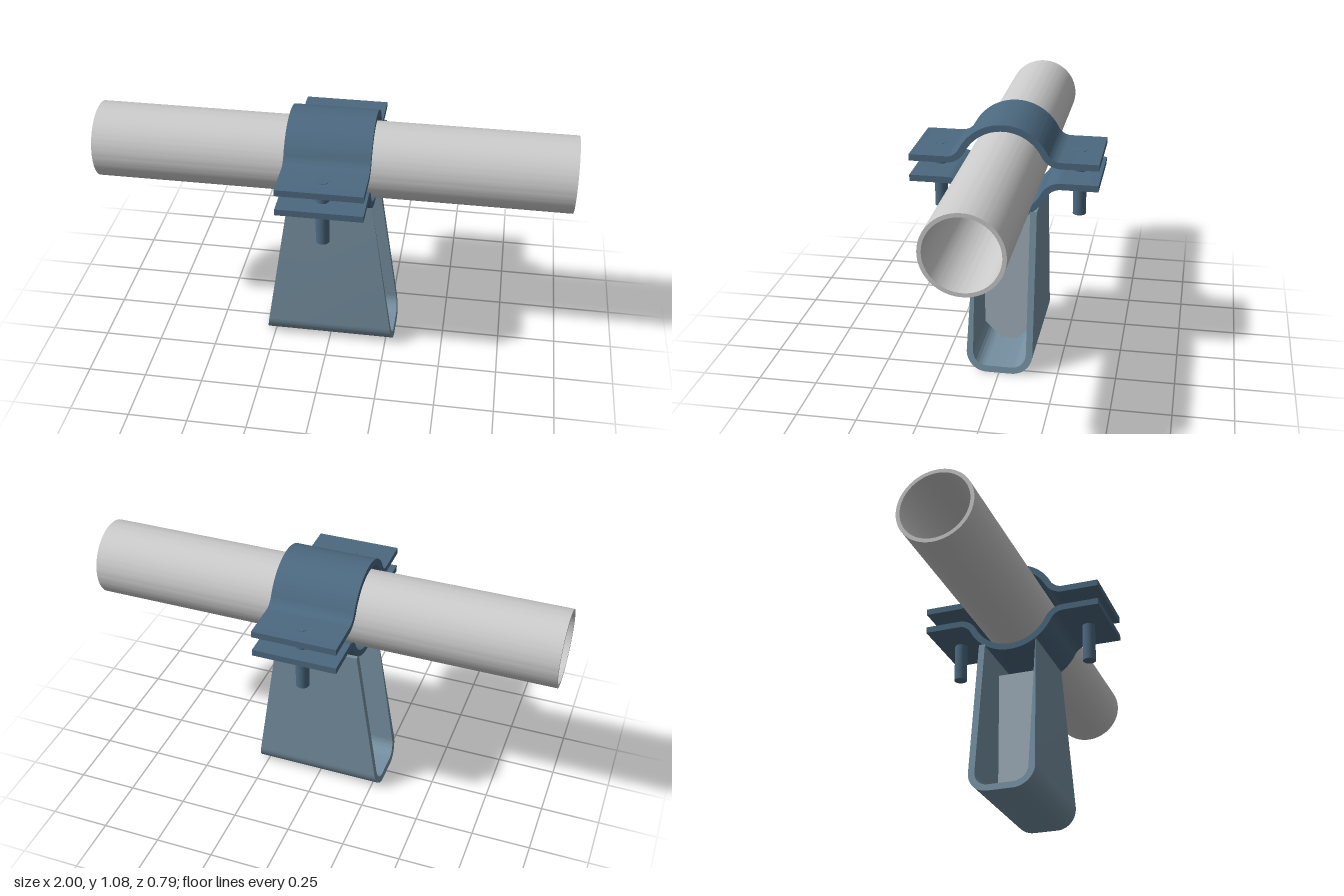
import * as THREE from 'three';
import { toCreasedNormals } from 'three/addons/utils/BufferGeometryUtils.js';

const AXIS_Y = 0.878; // height of the pipe axis

function material(color) {
  return new THREE.MeshStandardMaterial({ color });
}

// Extrudes a z-y profile along x, centred on x = 0
function extrudeX(shape, length, curveSegments = 24) {
  const geo = new THREE.ExtrudeGeometry(shape, { depth: length, bevelEnabled: false, curveSegments });
  geo.translate(0, 0, -length / 2);
  geo.rotateY(Math.PI / 2);
  return geo;
}

// Half clamp: arch with filleted flanges, origin on the pipe axis
function clampShape() {
  const R = 0.192, half = 0.0137, flangeY = 0.045, end = 0.395, fz = 0.24, fr = 0.0774;
  const fy = flangeY + fr, a = Math.atan2(fy, fz), down = -Math.PI / 2;
  const s = new THREE.Shape();
  s.moveTo(end, flangeY - half);
  s.lineTo(end, flangeY + half);
  s.absarc(fz, fy, fr - half, down, a - Math.PI, true);
  s.absarc(0, 0, R + half, a, Math.PI - a, false);
  s.absarc(-fz, fy, fr - half, -a, down, true);
  s.lineTo(-end, flangeY + half);
  s.lineTo(-end, flangeY - half);
  s.absarc(-fz, fy, fr + half, down, -a, false);
  s.absarc(0, 0, R - half, Math.PI - a, a, true);
  s.absarc(fz, fy, fr + half, a - Math.PI, down, false);
  s.closePath();
  return s;
}

// U-shaped channel section with rounded bottom corners
function channelShape() {
  const w = 0.143, t = 0.028, top = 0.715, r = 0.09, c = w - r, q = Math.PI / 2;
  const s = new THREE.Shape();
  s.moveTo(-w, top);
  s.absarc(-c, r, r, Math.PI, 3 * q, false);
  s.absarc(c, r, r, -q, 0, false);
  s.lineTo(w, top);
  s.lineTo(w - t, top);
  s.absarc(c, r, r - t, 0, -q, true);
  s.absarc(-c, r, r - t, 3 * q, Math.PI, true);
  s.lineTo(-w + t, top);
  s.closePath();
  return s;
}

export function createModel() {
  const group = new THREE.Group();
  const steel = material(0x4c6980);
  const add = (name, geo, mat, y = 0, z = 0) => {
    const mesh = new THREE.Mesh(geo, mat);
    mesh.name = name;
    mesh.position.set(0, y, z);
    group.add(mesh);
    return mesh;
  };

  // Hollow pipe
  const ring = new THREE.Shape().absarc(0, 0, 0.16, 0, Math.PI * 2, false);
  ring.holes.push(new THREE.Path().absarc(0, 0, 0.144, 0, Math.PI * 2, true));
  add('pipe', toCreasedNormals(extrudeX(ring, 2, 64), 0.6), material(0xcccccc), AXIS_Y);

  // Two mirrored clamp halves
  const clamp = toCreasedNormals(extrudeX(clampShape(), 0.356), 0.6);
  add('upperClamp', clamp, steel, AXIS_Y);
  add('lowerClamp', clamp, steel, AXIS_Y).rotation.x = Math.PI;

  // Bolts through the flanges
  const bolt = new THREE.CylinderGeometry(0.028, 0.028, 0.288, 32);
  for (const side of [1, -1]) add(side > 0 ? 'frontBolt' : 'backBolt', bolt, steel, 0.794, side * 0.3);

  // Channel foot, tapering from wide base to clamp width
  const channel = extrudeX(channelShape(), 2);
  const p = channel.attributes.position;
  for (let i = 0; i < p.count; i++) {
    p.setX(i, p.getX(i) * THREE.MathUtils.lerp(0.285, 0.178, p.getY(i) / 0.715));
  }
  add('channelFoot', toCreasedNormals(channel, 0.6), material(0x7690a1));

  // Chamfered stiffening plate inside the channel
  const rib = new THREE.Shape([
    [-0.035, 0.028], [0.035, 0.028], [0.11, 0.102], [0.11, 0.637], [-0.11, 0.637], [-0.11, 0.102],
  ].map(([z, y]) => new THREE.Vector2(z, y)));
  add('stiffenerPlate', extrudeX(rib, 0.03), material(0xa3b3bf));

  return group;
}
